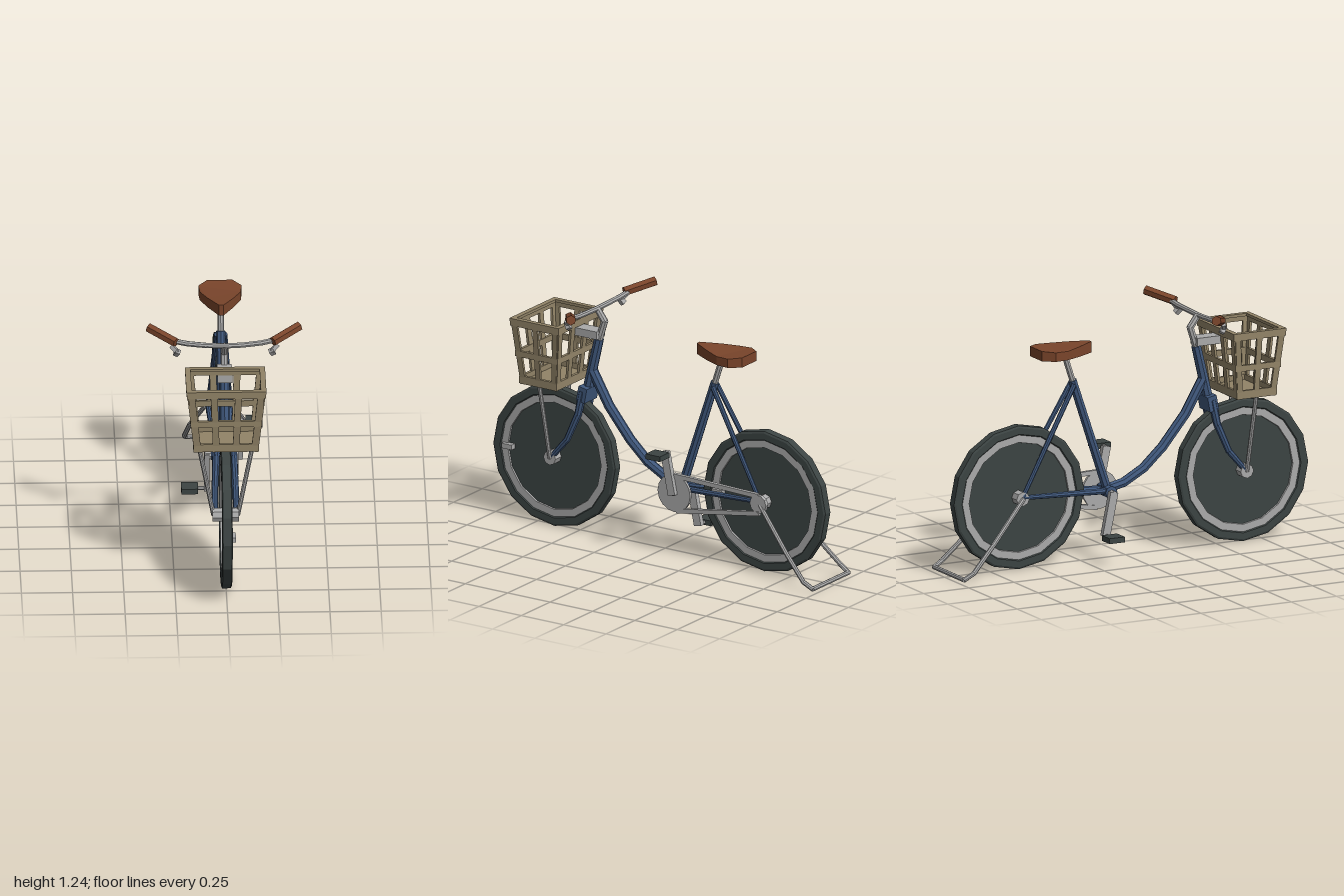
import * as THREE from 'three';

const mat = (name, color) => Object.assign(new THREE.MeshStandardMaterial({ color, flatShading: true }), { name });
const V = (x, y, z) => new THREE.Vector3(x, y, z);

export function createModel() {
  const blue = mat('framePaint', 0x40587c);
  const silver = mat('silverMetal', 0xaaaaaa);
  const rubber = mat('darkRubber', 0x3c4443);
  const leather = mat('brownLeather', 0x7a452b);
  const wicker = mat('tanWood', 0x928468);

  const root = new THREE.Group();
  root.name = 'bicycle';
  const group = (name, parent = root) => {
    const g = new THREE.Group();
    g.name = name;
    parent.add(g);
    return g;
  };
  const mesh = (name, geo, material, parent = root) => {
    const m = new THREE.Mesh(geo, material);
    m.name = name;
    parent.add(m);
    return m;
  };
  const box = (name, m, p, s, parent) => {
    const b = mesh(name, new THREE.BoxGeometry(...s), m, parent);
    b.position.set(...p);
    return b;
  };
  // Round bar between two points, r0 at a and r1 at b
  const bar = (name, m, a, b, r0, r1 = r0, parent = root, sides = 8) => {
    const d = b.clone().sub(a);
    const c = mesh(name, new THREE.CylinderGeometry(r1, r0, d.length() + r0 * 0.4, sides), m, parent);
    c.position.copy(a).add(b).multiplyScalar(0.5);
    c.quaternion.setFromUnitVectors(V(0, 1, 0), d.normalize());
    return c;
  };
  // Chain of bars through a list of points
  const path = (name, m, pts, r0, r1 = r0, parent = root) => {
    const g = group(name, parent), n = pts.length - 1;
    const r = (i) => r0 + (r1 - r0) * i / n;
    for (let i = 0; i < n; i++) bar(name + 'Section', m, V(...pts[i]), V(...pts[i + 1]), r(i), r(i + 1), g);
    return g;
  };
  // Flat strip between two points; n is the direction its face looks in
  const strip = (name, m, a, b, w, t, n, parent = root) => {
    const y = b.clone().sub(a), len = y.length();
    y.normalize();
    const x = y.clone().cross(n).normalize();
    const s = mesh(name, new THREE.BoxGeometry(w, len, t), m, parent);
    s.quaternion.setFromRotationMatrix(new THREE.Matrix4().makeBasis(x, y, x.clone().cross(y)));
    s.position.copy(a).add(b).multiplyScalar(0.5);
    return s;
  };
  // Disc or axle along x
  const axle = (name, m, x0, x1, y, z, r, sides, parent = root) => {
    const c = mesh(name, new THREE.CylinderGeometry(r, r, x1 - x0, sides).rotateZ(Math.PI / 2), m, parent);
    c.position.set((x0 + x1) / 2, y, z);
    return c;
  };
  const ring = (pts) => new THREE.LatheGeometry(pts.map((p) => new THREE.Vector2(...p)), 16).rotateZ(Math.PI / 2);

  // Wheels
  const wheel = (name, z, hubR) => {
    const g = group(name);
    g.position.set(0, 0.36, z);
    mesh('tyre', ring([[0.312, -0.02], [0.318, -0.026], [0.35, -0.026], [0.36, -0.021],
      [0.36, 0.021], [0.35, 0.026], [0.318, 0.026], [0.312, 0.02]]), rubber, g);
    mesh('rim', ring([[0.274, -0.012], [0.276, -0.021], [0.318, -0.021], [0.318, 0.021], [0.276, 0.021], [0.274, 0.012]]), silver, g);
    axle('spokeDisc', rubber, -0.013, 0.013, 0, 0, 0.28, 16, g);
    axle('hub', silver, -0.064, 0.064, 0, 0, hubR, 8, g);
    box('reflector', silver, [0.025, 0.003, 0.268], [0.035, 0.025, 0.06], g);
  };
  wheel('frontWheel', 0.64, 0.036);
  wheel('rearWheel', -0.6, 0.036);

  // Frame
  const frame = group('frame');
  bar('headTube', blue, V(0, 0.75, 0.452), V(0, 1.0, 0.392), 0.027, 0.025, frame);
  path('downTube', blue, [[0, 0.83, 0.425], [0, 0.67, 0.33], [0, 0.52, 0.205], [0, 0.425, 0.10],
    [0, 0.365, -0.01], [0, 0.345, -0.1]], 0.026, 0.024, frame);
  bar('seatTube', blue, V(0, 0.335, -0.1), V(0, 0.905, -0.292), 0.024, 0.022, frame);
  axle('bottomBracket', blue, -0.053, 0.053, 0.335, -0.105, 0.032, 8, frame);
  strip('forkCrown', blue, V(0, 0.68, 0.465), V(0, 0.755, 0.45), 0.11, 0.05, V(0, 0, 1), frame);
  for (const s of [-1, 1]) {
    path('forkBlade', blue, [[s * 0.038, 0.73, 0.46], [s * 0.043, 0.61, 0.485], [s * 0.05, 0.47, 0.545],
      [s * 0.052, 0.365, 0.635]], 0.021, 0.014, frame);
    bar('seatStay', blue, V(s * 0.02, 0.89, -0.295), V(s * 0.055, 0.37, -0.595), 0.013, 0.011, frame);
    bar('chainStay', blue, V(s * 0.03, 0.34, -0.12), V(s * 0.055, 0.365, -0.595), 0.016, 0.012, frame);
  }

  // Saddle: teardrop plan with a slightly dished top
  bar('seatPost', silver, V(0, 0.89, -0.287), V(0, 1.05, -0.34), 0.016);
  const half = [[0.012, 0.195], [0.065, 0.29], [0.1, 0.37], [0.106, 0.44], [0.062, 0.495]];
  const plan = new THREE.Shape([...half, ...half.slice().reverse().map(([x, z]) => [-x, z])].map((p) => new THREE.Vector2(...p)));
  const saddleGeo = new THREE.ExtrudeGeometry(plan, { depth: 0.05, bevelEnabled: false }).rotateX(-Math.PI / 2);
  const sp = saddleGeo.attributes.position;
  for (let i = 0; i < sp.count; i++) {
    const y = sp.getY(i), z = sp.getZ(i);
    if (y > 0.02) sp.setY(i, y - 0.008 * Math.max(0, 1 - Math.abs(z + 0.4) / 0.1) + (z > -0.25 ? 0.006 : 0));
  }
  mesh('saddle', saddleGeo, leather).position.y = 1.04;

  // Handlebar, grips and brake levers
  const steering = group('steering');
  path('stem', silver, [[0, 0.99, 0.394], [0, 1.1, 0.358], [0, 1.157, 0.4]], 0.019, 0.017, steering);
  path('handlebar', silver, [[-0.25, 1.18, 0.385], [-0.18, 1.168, 0.393], [-0.09, 1.161, 0.4], [0, 1.158, 0.402],
    [0.09, 1.161, 0.4], [0.18, 1.168, 0.393], [0.25, 1.18, 0.385]], 0.0135, 0.0135, steering);
  for (const s of [-1, 1]) {
    bar('grip', leather, V(s * 0.24, 1.18, 0.4), V(s * 0.363, 1.215, 0.31), 0.025, 0.025, steering, 6);
    strip('brakeLever', silver, V(s * 0.26, 1.165, 0.405), V(s * 0.228, 1.135, 0.42), 0.02, 0.02, V(0, 0, 1), steering);
    strip('brakeLeverEnd', silver, V(s * 0.226, 1.143, 0.425), V(s * 0.238, 1.118, 0.405), 0.024, 0.024, V(0, 0, 1), steering);
  }

  // Basket: tapered slatted crate
  const basket = group('basket');
  const zc = 0.642, y0 = 0.75, y1 = 1.09;
  const hx = (y) => 0.15 + 0.037 * (y - y0) / (y1 - y0);
  const hz = (y) => 0.1 + 0.037 * (y - y0) / (y1 - y0);
  const t = 0.016;
  box('basketFloor', wicker, [0, 0.757, zc], [0.31, 0.016, 0.21], basket);
  for (const s of [-1, 1]) {
    for (const [y, h] of [[0.772, 0.04], [0.908, 0.03], [1.071, 0.037]]) {
      const x = hx(y), z = hz(y);
      strip('frontBackRail', wicker, V(-x - 0.008, y, zc + s * z), V(x + 0.008, y, zc + s * z), h, t, V(0, 0, s), basket);
      strip('sideRail', wicker, V(s * x, y, zc - z), V(s * x, y, zc + z), h, t, V(s, 0, 0), basket);
    }
    // upright slats, f is the fraction of the half width
    for (const f of [-0.92, -0.32, 0.32, 0.92]) {
      strip('frontBackSlat', wicker, V(f * hx(y0), y0, zc + s * hz(y0)), V(f * hx(y1), y1 - 0.004, zc + s * hz(y1)),
        0.033, 0.013, V(0, 0, s), basket);
    }
    for (const f of [-0.89, 0, 0.89]) {
      strip('sideSlat', wicker, V(s * hx(y0), y0, zc + f * hz(y0)), V(s * hx(y1), y1 - 0.004, zc + f * hz(y1)),
        0.029, 0.013, V(s, 0, 0), basket);
    }
    // flat cap on the top edge
    box('topCapLong', wicker, [0, 1.083, zc + s * 0.132], [0.39, 0.014, 0.027], basket);
    box('topCapShort', wicker, [s * 0.182, 1.083, zc], [0.027, 0.014, 0.265], basket);
    bar('basketStrut', silver, V(s * 0.135, 0.755, 0.652), V(s * 0.06, 0.36, 0.64), 0.011);
  }
  box('basketBracket', silver, [0, 1.03, 0.445], [0.072, 0.04, 0.13]);

  // Drivetrain on the left side
  const drive = group('drivetrain');
  axle('crankAxle', silver, -0.08, 0.09, 0.33, -0.105, 0.018, 8, drive);
  axle('chainring', silver, 0.066, 0.08, 0.325, -0.105, 0.096, 16, drive);
  axle('sprocket', silver, 0.06, 0.08, 0.36, -0.6, 0.048, 10, drive);
  strip('upperChain', silver, V(0.073, 0.415, -0.1), V(0.073, 0.402, -0.6), 0.02, 0.022, V(0, 1, 0), drive);
  strip('lowerChain', silver, V(0.073, 0.236, -0.12), V(0.073, 0.313, -0.605), 0.02, 0.022, V(0, 1, 0), drive);
  for (const s of [-1, 1]) {
    const py = 0.33 + s * 0.2, pz = -0.105 + s * 0.045, cx = s > 0 ? 0.089 : -0.072;
    strip('crankArm', silver, V(cx, 0.33 - s * 0.012, -0.105), V(cx, py + s * 0.005, pz), 0.042, 0.026, V(1, 0, 0), drive);
    axle('pedalAxle', silver, s > 0 ? 0.08 : -0.13, s > 0 ? 0.13 : -0.07, py, pz, 0.009, 6, drive);
    box('pedal', rubber, [s * 0.156, py, pz], [0.082, 0.027, 0.084], drive);
  }

  // Parking stand behind the rear wheel
  const leg = (s) => [[s * 0.068, 0.36, -0.6], [s * 0.137, 0.165, -0.805], [s * 0.162, 0.045, -0.925], [s * 0.155, 0.016, -0.975]];
  path('parkingStand', silver, [...leg(-1), ...leg(1).reverse()], 0.012);
  return root;
}
